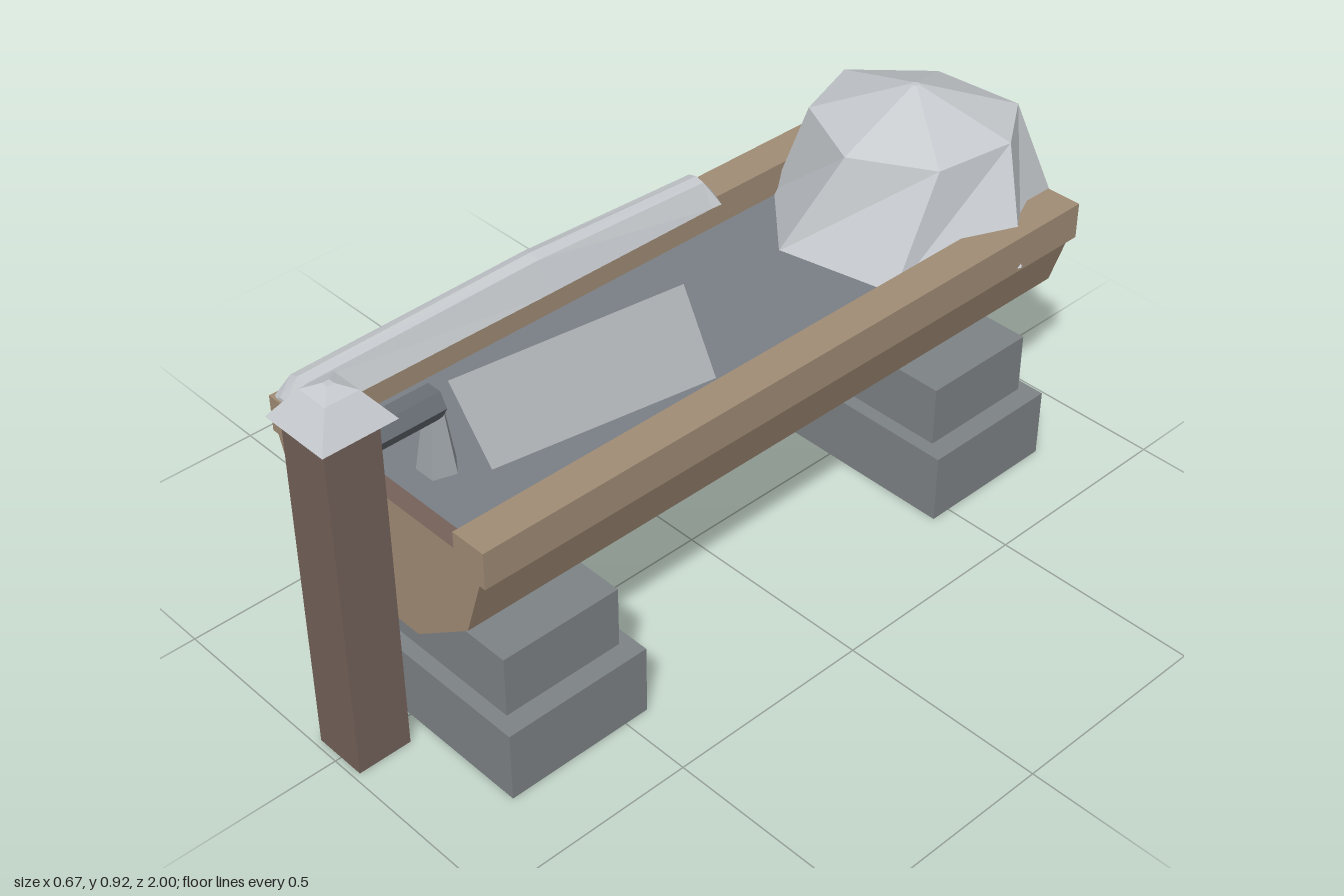
import * as THREE from 'three';

const mat = (name, color, extra = {}) => {
  const m = new THREE.MeshStandardMaterial({ color, flatShading: true, ...extra });
  m.name = name;
  return m;
};

// Faceted surface from closed loops of points (counter-clockwise seen from the tip), with both ends capped
function loft(loops) {
  const n = loops[0].length, pos = [], idx = [];
  loops.forEach(l => l.forEach(p => pos.push(...p)));
  for (let r = 0; r < loops.length - 1; r++) {
    for (let i = 0; i < n; i++) {
      const j = (i + 1) % n, a = r * n + i, b = r * n + j, c = a + n, d = b + n;
      idx.push(a, b, d, a, d, c);
    }
  }
  const end = (loops.length - 1) * n;
  for (let i = 1; i < n - 1; i++) idx.push(0, i + 1, i, end, end + i, end + i + 1);
  const g = new THREE.BufferGeometry();
  g.setAttribute('position', new THREE.Float32BufferAttribute(pos, 3));
  g.setIndex(idx);
  const flat = g.toNonIndexed();
  flat.computeVertexNormals();
  return flat;
}

export function createModel() {
  const root = new THREE.Group();
  root.name = 'snowyTrough';
  const stone = mat('stone', 0x7e8387, { side: THREE.DoubleSide });
  const wood = mat('lightWood', 0xa28d76);
  const darkWood = mat('darkWood', 0x75625a, { side: THREE.DoubleSide });
  const snow = mat('snow', 0xc6cace);
  const ice = mat('ice', 0x7a8086);
  const sheen = mat('iceSheen', 0xaaaeb1);
  const metal = mat('metal', 0x697076);
  const icicleMat = mat('frozenWater', 0x9ea4a9);

  const add = (name, geo, material) => {
    const m = new THREE.Mesh(geo, material);
    m.name = name;
    root.add(m);
    return m;
  };
  // Box given by its extents
  const box = (name, [x0, x1], [y0, y1], [z0, z1], material, openBottom = false) => {
    const g = new THREE.BoxGeometry(x1 - x0, y1 - y0, z1 - z0);
    if (openBottom) { // drop the -y face
      const index = Array.from(g.index.array);
      index.splice(18, 6);
      g.setIndex(index);
      g.clearGroups();
      for (let i = 0; i < 6; i++) g.addGroup(i * 5, 5, 0);
      g.clearGroups();
    }
    g.translate((x0 + x1) / 2, (y0 + y1) / 2, (z0 + z1) / 2);
    return add(name, g, material);
  };
  // Cross-section drawn in x and y, run along z
  const run = (name, pts, z0, z1, materials) => {
    const shape = new THREE.Shape(pts.map(p => new THREE.Vector2(...p)));
    const g = new THREE.ExtrudeGeometry(shape, { depth: z1 - z0, bevelEnabled: false });
    g.translate(0, 0, z0);
    return add(name, g, materials);
  };

  // Stone supports: two stacked blocks at each end
  for (const [name, low, high] of [
    ['front', [0.44, 0.805], [0.47, 0.77]],
    ['back', [-0.81, -0.45], [-0.783, -0.485]],
  ]) {
    box(name + 'LowerStone', [-0.335, 0.328], [0, 0.172], low, stone, true);
    box(name + 'UpperStone', [-0.284, 0.279], [0.172, 0.321], high, stone, true);
  }

  // Trough hull: dark bottom boards, light upper boards
  const z0 = -0.872, z1 = 0.84;
  run('hullBottom', [[-0.108, 0.318], [0.104, 0.318], [0.266, 0.435], [-0.272, 0.435]], z0, z1, [wood, darkWood]);
  run('hullSides', [[-0.272, 0.435], [0.266, 0.435], [0.314, 0.584], [-0.32, 0.584]], z0, z1, wood);
  box('leftRail', [0.24, 0.328], [0.578, 0.666], [z0, z1], wood);
  box('rightRail', [-0.335, -0.246], [0.578, 0.666], [z0, z1], wood);
  for (const [name, a, b] of [['frontWall', z1 - 0.04, z1], ['backWall', z0, z0 + 0.04]]) {
    run(name, [[-0.246, 0.58], [0.24, 0.58], [0.24, 0.627], [-0.246, 0.627]], a, b, [wood, darkWood]);
  }

  // Frozen water with a pale slanted reflection
  box('iceSurface', [-0.246, 0.24], [0.575, 0.59], [z0 + 0.04, z1 - 0.04], ice);
  const glint = new THREE.ShapeGeometry(new THREE.Shape(
    [[-0.125, 0.095], [-0.205, -0.495], [0.08, -0.615], [0.167, -0.09]].map(p => new THREE.Vector2(...p))));
  glint.rotateX(-Math.PI / 2).translate(0, 0.594, 0);
  add('iceReflection', glint, sheen);

  // Post with a snow cap
  box('post', [-0.068, 0.062], [0, 0.84], [0.855, 0.985], darkWood, true);
  const square = (h, y) => [[-h, h], [h, h], [h, -h], [-h, -h]].map(([x, z]) => [x - 0.003 + 0, y, z + 0.915]);
  add('postSnow', loft([square(0.088, 0.837), square(0.04, 0.902), square(0.008, 0.917)]), snow);

  // Spout and the frozen stream below it
  const spout = new THREE.CylinderGeometry(0.037, 0.037, 0.18, 6);
  spout.rotateY(Math.PI / 2).rotateX(Math.PI / 2).rotateZ(0);
  spout.rotateZ(0).translate(-0.003, 0.752, 0.768);
  // Turn the hexagon so that its flat side is on top
  spout.translate(0.003, -0.752, 0).rotateZ(0).translate(-0.003, 0.752, 0);
  add('spout', spout, metal);
  const stream = new THREE.CylinderGeometry(0.02, 0.045, 0.157, 5);
  stream.rotateY(Math.PI).translate(-0.003, 0.667, 0.682);
  add('frozenStream', stream, icicleMat);

  // Long snow ridge on the right rail: z, height, narrowing
  const ridge = [[-0.308, 0.012, 1], [-0.28, 0.052, 0.96], [0.2, 0.072, 1], [0.805, 0.058, 0.96], [0.835, 0.01, 1]]
    .map(([z, h, k]) => [[-0.053, -0.01], [0.053, -0.01], [0.024, h * 0.88], [0, h], [-0.024, h * 0.88]]
      .map(([x, y]) => [-0.28 + x * k, 0.666 + y, z]));
  add('railSnow', loft(ridge), snow);

  // Big snow mound over the back end
  const foot = [[-0.08, -0.34], [0.21, -0.4], [0.332, -0.68], [0.22, -0.93], [-0.08, -1], [-0.3, -0.78], [-0.265, -0.51]]
    .map(([x, z]) => [x, 0.587, z]);
  const shoulder = [[0.01, -0.445], [0.19, -0.55], [0.218, -0.75], [0.12, -0.89], [-0.1, -0.87], [-0.252, -0.72], [-0.19, -0.54]]
    .map(([x, z]) => [x, 0.826, z]);
  const crown = shoulder.map(([x, , z]) => [0.005 + x * 0.04, 0.916, -0.67 + (z + 0.67) * 0.04]);
  add('snowMound', loft([foot, shoulder, crown]), snow);

  return root;
}
